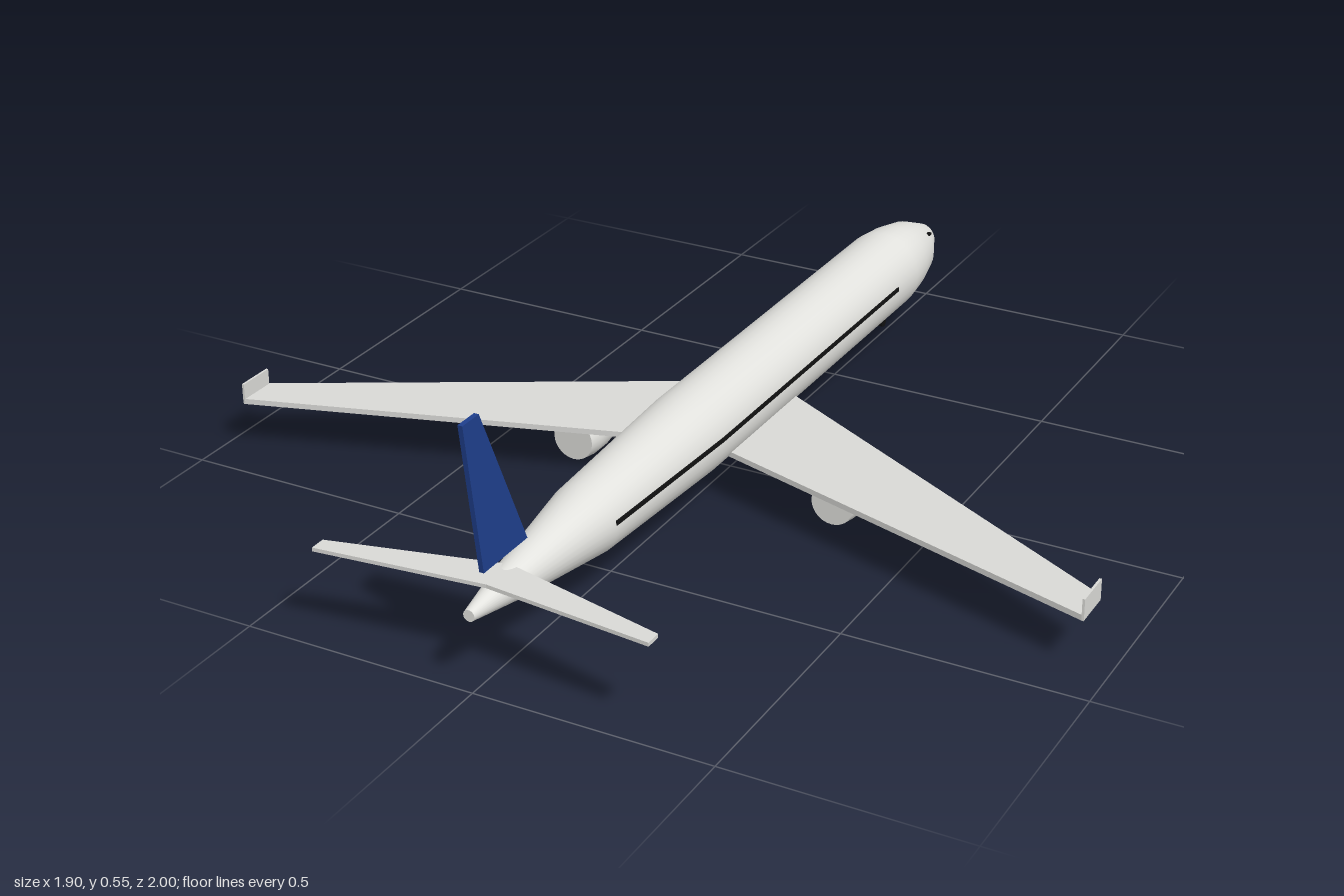
import * as THREE from 'three';

const paint = (name, color) => new THREE.MeshStandardMaterial({ name, color });

export function createModel() {
  const model = new THREE.Group();
  model.name = 'airliner';
  const white = paint('body white', 0xe2e2de);
  const grey = paint('wing grey', 0xd9d9d6);
  const blue = paint('fin blue', 0x1f3f8c);
  const black = paint('black', 0x111111);
  const steel = paint('strut grey', 0x555558);

  const add = (name, geometry, material, x = 0, y = 0, z = 0, parent = model) => {
    const mesh = new THREE.Mesh(geometry, material);
    mesh.name = name;
    mesh.position.set(x, y, z);
    parent.add(mesh);
    return mesh;
  };
  const outline = (points, side = 1) =>
    new THREE.Shape(points.map(([a, b]) => new THREE.Vector2(a * side, b)));
  // Flat slab drawn in plan (x, z); its top lies at y = 0
  const slab = (points, side, depth) =>
    new THREE.ExtrudeGeometry(outline(points, side), { depth, bevelEnabled: false }).rotateX(Math.PI / 2);
  // Body of revolution along z, from [radius, z] pairs
  const turned = (points, segments) =>
    new THREE.LatheGeometry(points.map(([r, z]) => new THREE.Vector2(r, z)), segments).rotateX(Math.PI / 2);

  // Fuselage, nose towards -z
  const AXIS = 0.163;
  add('fuselage', turned([
    [0, -1], [0.016, -0.988], [0.034, -0.96], [0.068, -0.88], [0.083, -0.81], [0.091, -0.74],
    [0.091, 0.2], [0.0745, 0.6], [0.036, 0.87], [0.012, 1],
  ], 32), white, 0, AXIS);
  add('tailCap', new THREE.CircleGeometry(0.012, 32), white, 0, AXIS, 1);

  // Fin, drawn in (z, y)
  const fin = new THREE.ExtrudeGeometry(
    outline([[0.805, 0.228], [0.953, 0.228], [1, 0.545], [0.947, 0.545]]),
    { depth: 0.01, bevelEnabled: false }).rotateY(-Math.PI / 2);
  add('fin', fin, blue, 0.005);

  const wheel = (r, w) => new THREE.CylinderGeometry(r, r, w, 16).rotateZ(Math.PI / 2);

  for (const side of [-1, 1]) {
    const label = side > 0 ? 'left' : 'right';

    // Wing, winglet and tailplane
    add(label + 'Wing', slab([[0.07, -0.152], [0.947, 0.327], [0.947, 0.412], [0.07, 0.142]], side, 0.012),
      grey, 0, 0.118);
    add(label + 'Winglet', new THREE.BoxGeometry(0.005, 0.045, 0.085), grey, side * 0.9455, 0.13, 0.3695);
    add(label + 'Tailplane', slab([[0, 0.857], [0.357, 0.943], [0.357, 0.977], [0, 0.94]], side, 0.008),
      grey, 0, 0.197);

    // Window band follows the taper of the fuselage
    add(label + 'WindowBand', slab([
      [0.0925, -0.635], [0.0925, 0.2], [0.076, 0.6], [0.07, 0.6], [0.086, 0.2], [0.086, -0.635],
    ], side, 0.009), black, 0, 0.18);
    add(label + 'CockpitWindow', new THREE.BoxGeometry(0.008, 0.006, 0.01), black, side * 0.0505, 0.207, -0.888);

    // Engine
    const engine = new THREE.Group();
    engine.name = label + 'Engine';
    engine.position.set(side * 0.303, 0.051, 0.08);
    model.add(engine);
    add('nacelle', turned([[0.042, -0.056], [0.047, -0.045], [0.051, -0.015], [0.051, 0.025], [0.046, 0.056]], 28),
      white, 0, 0, 0, engine);
    add('exhaust', new THREE.CircleGeometry(0.046, 28), grey, 0, 0, 0.056, engine);
    add('fanFace', new THREE.CircleGeometry(0.042, 28).rotateY(Math.PI), white, 0, 0, -0.056, engine);
    add('intakeRing', new THREE.TorusGeometry(0.041, 0.004, 8, 28), black, 0, 0, -0.056, engine);

    // Main gear with a four wheel bogie
    const gear = new THREE.Group();
    gear.name = label + 'MainGear';
    gear.position.set(side * 0.162, 0.037, 0.012);
    model.add(gear);
    add('strut', new THREE.CylinderGeometry(0.004, 0.004, 0.072, 10), steel, 0, 0.036, 0, gear);
    add('bogieBeam', new THREE.BoxGeometry(0.006, 0.006, 0.046), steel, 0, 0, 0, gear);
    for (const z of [-0.023, 0.023]) {
      add('axle', wheel(0.003, 0.026), steel, 0, 0, z, gear);
      for (const x of [-0.012, 0.012]) add('wheel', wheel(0.016, 0.01), black, x, 0, z, gear);
    }

    // Nose wheels
    add(label + 'NoseWheel', wheel(0.012, 0.007), black, side * 0.006, 0.034, -0.74);
  }
  add('noseStrut', new THREE.CylinderGeometry(0.003, 0.003, 0.055, 10), steel, 0, 0.06, -0.74);

  return model;
}
